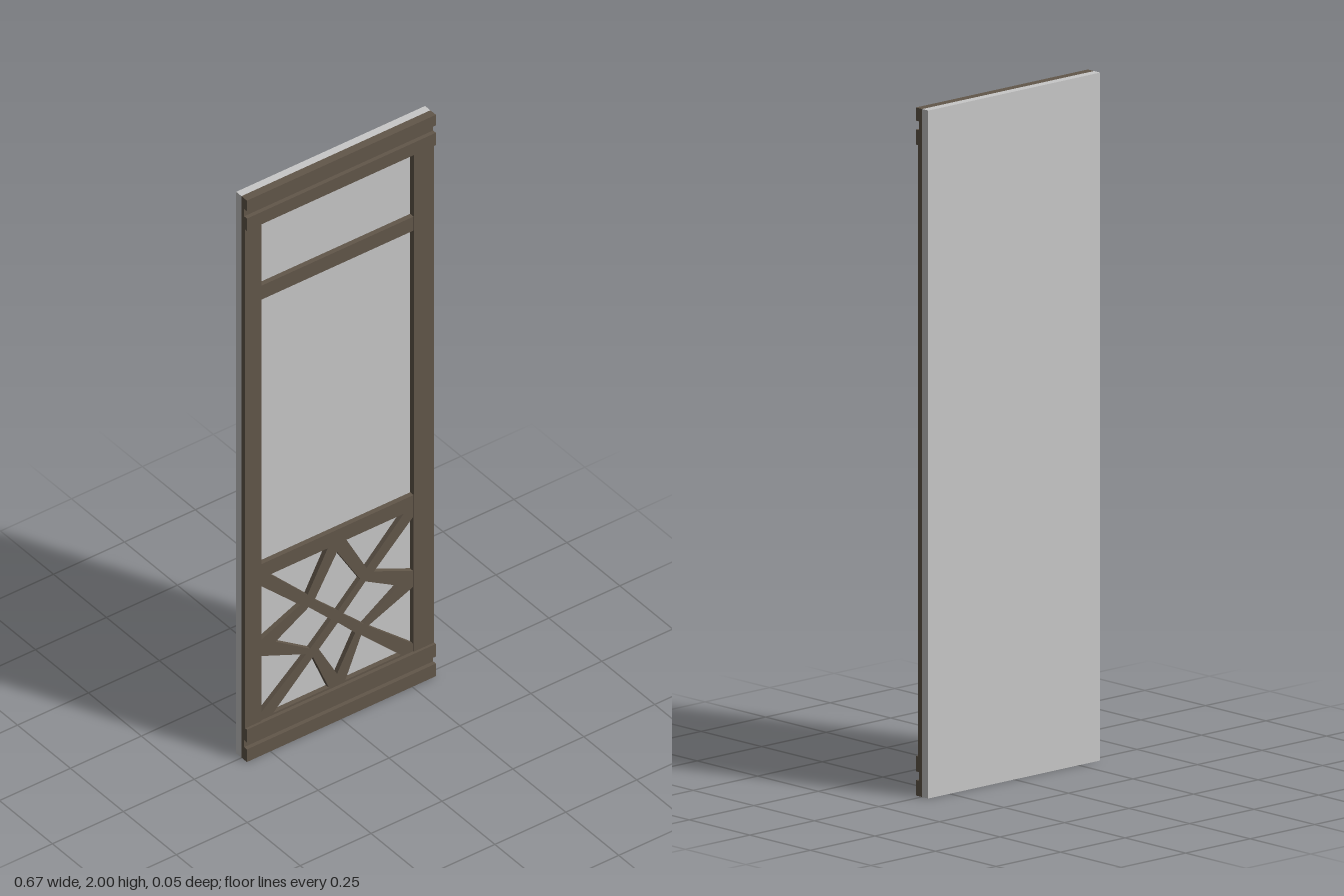
import * as THREE from 'three';

export function createModel() {
  const model = new THREE.Group();
  model.name = 'latticedDoorPanel';

  const wood = new THREE.MeshStandardMaterial({ color: 0x62574a });
  wood.name = 'darkWood';
  const pale = new THREE.MeshStandardMaterial({ color: 0xc8c8c8 });
  pale.name = 'paleGrey';

  const HALF = 0.333;            // half width of the door
  const L = -0.276, R = 0.262;   // opening edges

  // Box given by its limits on each axis
  function slab(name, material, x0, x1, y0, y1, z0, z1) {
    const mesh = new THREE.Mesh(new THREE.BoxGeometry(x1 - x0, y1 - y0, z1 - z0), material);
    mesh.position.set((x0 + x1) / 2, (y0 + y1) / 2, (z0 + z1) / 2);
    mesh.name = name;
    model.add(mesh);
  }

  // Backing sheet
  slab('backingPanel', pale, -HALF, HALF, 0, 2, -0.026, -0.001);

  // Stiles and plain cross rails
  slab('rightStile', wood, -HALF, L, 0.115, 1.892, -0.001, 0.017);
  slab('leftStile', wood, R, HALF, 0.115, 1.892, -0.001, 0.017);
  slab('upperCrossRail', wood, L, R, 1.614, 1.664, -0.001, 0.015);
  slab('lowerCrossRail', wood, L, R, 0.622, 0.672, -0.001, 0.015);

  // Grooved rails: one profile (z, y) extruded across the width
  function groovedRail(name, y0, y1, groove0, groove1) {
    const profile = new THREE.Shape([
      [-0.001, y0], [0.025, y0], [0.025, groove0], [0.012, groove0],
      [0.012, groove1], [0.025, groove1], [0.025, y1], [-0.001, y1],
    ].map(([z, y]) => new THREE.Vector2(z, y)));
    const geometry = new THREE.ExtrudeGeometry(profile, { depth: 2 * HALF, bevelEnabled: false });
    geometry.rotateY(-Math.PI / 2).scale(1, 1, 1);
    geometry.translate(HALF, 0, 0);
    const rail = new THREE.Mesh(geometry, wood);
    rail.name = name;
    model.add(rail);
  }
  groovedRail('topRail', 1.892, 2, 1.936, 1.962);
  groovedRail('bottomRail', 0, 0.115, 0.045, 0.07);

  // Star lattice: a plate with kite and corner openings, about its crossing
  const cx = -0.007, y0 = 0.115, y1 = 0.622;
  const lattice = new THREE.Shape([
    new THREE.Vector2(L, y0), new THREE.Vector2(R, y0),
    new THREE.Vector2(R, y1), new THREE.Vector2(L, y1),
  ]);
  function opening(points, side = 1) {
    lattice.holes.push(new THREE.Path(points.map(([x, y]) => new THREE.Vector2(cx + side * x, y))));
  }
  opening([[0, 0.592], [0.081, 0.458], [0.003, 0.381], [-0.079, 0.458]]);
  opening([[0, 0.158], [-0.064, 0.275], [0.003, 0.339], [0.064, 0.275]]);
  for (const side of [-1, 1]) {
    const w = 0.2675;
    opening([[0.217, 0.372], [0.1, 0.441], [0.021, 0.361], [0.095, 0.291]], side);
    opening([[0.033, 0.62], [0.235, 0.62], [0.104, 0.487]], side);
    opening([[w, 0.593], [w, 0.402], [0.13, 0.463]], side);
    opening([[w, 0.344], [w, 0.143], [0.109, 0.278]], side);
    opening([[0.029, 0.122], [0.225, 0.122], [0.085, 0.257]], side);
  }
  const plate = new THREE.Mesh(
    new THREE.ExtrudeGeometry(lattice, { depth: 0.015, bevelEnabled: false }), wood);
  plate.position.z = -0.001;
  plate.name = 'starLattice';
  model.add(plate);

  return model;
}
